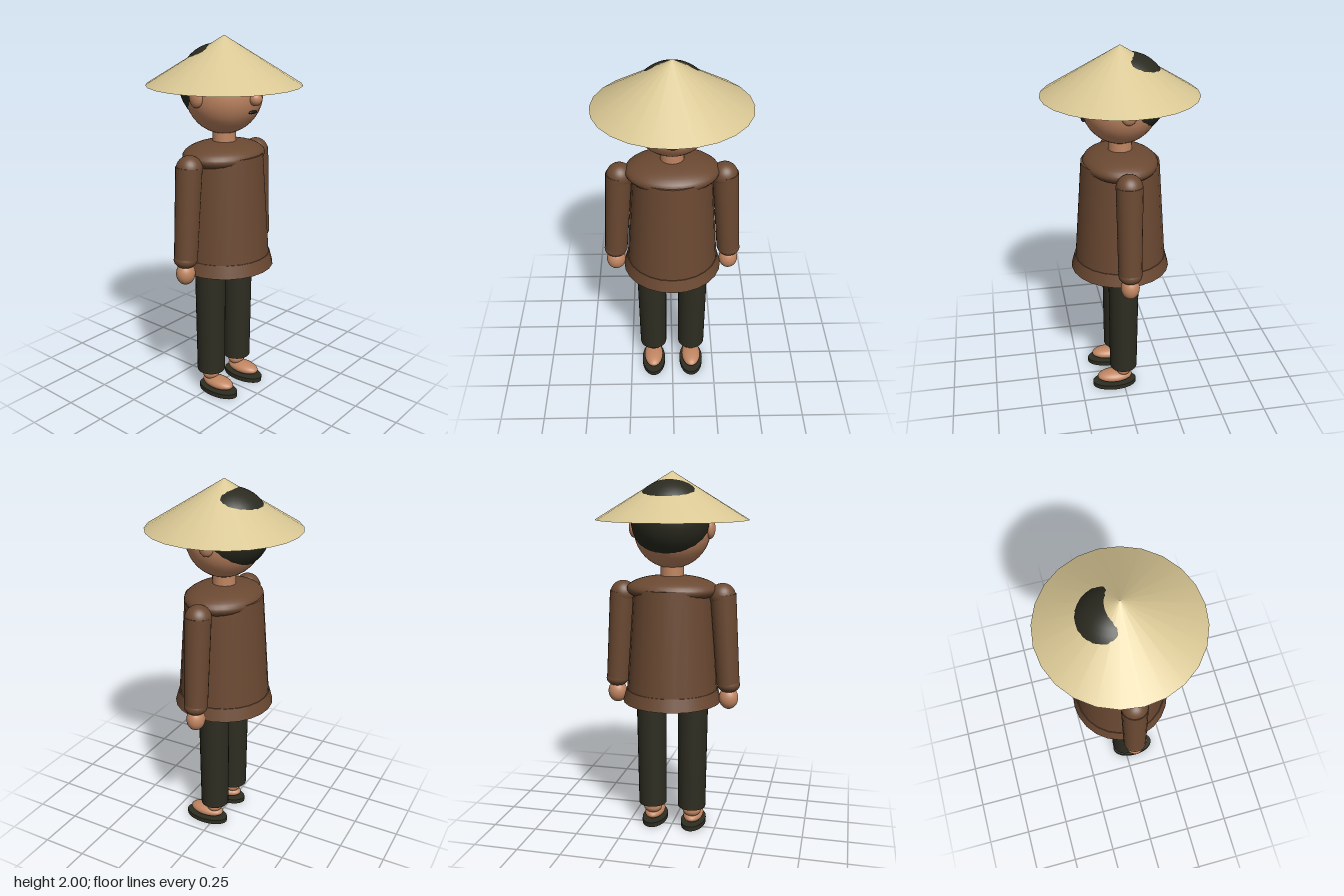
import * as THREE from 'three';

const material = (name, color) => {
  const m = new THREE.MeshStandardMaterial({ color });
  m.name = name;
  return m;
};

export function createModel() {
  const straw = material('straw', 0xd9c794);
  straw.side = THREE.DoubleSide;
  const brown = material('brown cloth', 0x6b4932);
  const skin = material('skin', 0xc18662);
  const dark = material('dark cloth', 0x2d2d22);
  const hairColor = material('hair', 0x2a2a20);
  const black = material('black', 0x171716);

  const model = new THREE.Group();
  model.name = 'figure';

  const add = (name, geometry, mat, position) => {
    const mesh = new THREE.Mesh(geometry, mat);
    mesh.name = name;
    mesh.position.set(...position);
    model.add(mesh);
    return mesh;
  };
  const ellipsoid = (name, mat, position, radii) =>
    add(name, new THREE.SphereGeometry(1, 32, 20), mat, position).scale.set(...radii);
  // Round, tapered part standing between two heights
  const column = (name, mat, x, z, y0, y1, r0, r1) =>
    add(name, new THREE.CylinderGeometry(r1, r0, y1 - y0, 24), mat, [x, (y0 + y1) / 2, z]);
  // Round, tapered part between two points
  const limb = (name, mat, top, bottom, rTop, rBottom) => {
    const a = new THREE.Vector3(...top), b = new THREE.Vector3(...bottom);
    const mesh = add(name, new THREE.CylinderGeometry(rTop, rBottom, a.distanceTo(b), 24), mat,
      a.clone().add(b).multiplyScalar(0.5).toArray());
    mesh.quaternion.setFromUnitVectors(new THREE.Vector3(0, 1, 0), a.sub(b).normalize());
  };

  // Head
  ellipsoid('head', skin, [0, 1.705, 0], [0.208, 0.212, 0.203]);
  ellipsoid('hair', hairColor, [0, 1.75, -0.04], [0.21, 0.21, 0.205]);
  ellipsoid('nose', skin, [0, 1.695, 0.208], [0.036, 0.036, 0.034]);
  ellipsoid('mouth', black, [0, 1.625, 0.192], [0.033, 0.009, 0.01]);
  column('neck', skin, 0, 0, 1.4, 1.52, 0.063, 0.063);

  // Open conical hat
  add('hat', new THREE.ConeGeometry(0.41, 0.25, 24, 1, true), straw, [0, 1.875, 0]);

  // Tunic
  column('tunic', brown, 0, 0, 0.83, 1.39, 0.25, 0.21);
  column('hem', brown, 0, 0, 0.76, 0.83, 0.273, 0.254);
  ellipsoid('yoke', brown, [0, 1.382, 0], [0.25, 0.075, 0.2]);

  for (const [side, s] of [['left', 1], ['right', -1]]) {
    ellipsoid(side + 'Ear', skin, [s * 0.208, 1.706, -0.01], [0.026, 0.054, 0.042]);
    ellipsoid(side + 'Eye', black, [s * 0.077, 1.752, 0.183], [0.028, 0.024, 0.014]);

    // Arm
    ellipsoid(side + 'Shoulder', brown, [s * 0.277, 1.35, 0], [0.07, 0.07, 0.07]);
    limb(side + 'Sleeve', brown, [s * 0.28, 1.36, 0], [s * 0.314, 0.87, 0], 0.07, 0.063);
    ellipsoid(side + 'Cuff', brown, [s * 0.317, 0.865, 0], [0.063, 0.046, 0.063]);
    ellipsoid(side + 'Hand', skin, [s * 0.318, 0.787, 0], [0.053, 0.062, 0.05]);

    // Leg and foot
    limb(side + 'Trouser', dark, [s * 0.119, 0.8, 0], [s * 0.115, 0.13, 0], 0.085, 0.079);
    ellipsoid(side + 'Ankle', skin, [s * 0.115, 0.105, 0], [0.053, 0.04, 0.046]);
    column(side + 'Shin', skin, s * 0.115, 0, 0.1, 0.15, 0.048, 0.048);
    ellipsoid(side + 'Foot', skin, [s * 0.115, 0.057, 0.052], [0.056, 0.034, 0.102]);
    add(side + 'Sandal', new THREE.CylinderGeometry(1, 1, 0.026, 24), black,
      [s * 0.115, 0.013, 0.053]).scale.set(0.07, 1, 0.128);
  }
  model.getObjectByName('leftSandal').material = dark;
  model.getObjectByName('rightSandal').material = dark;
  return model;
}
